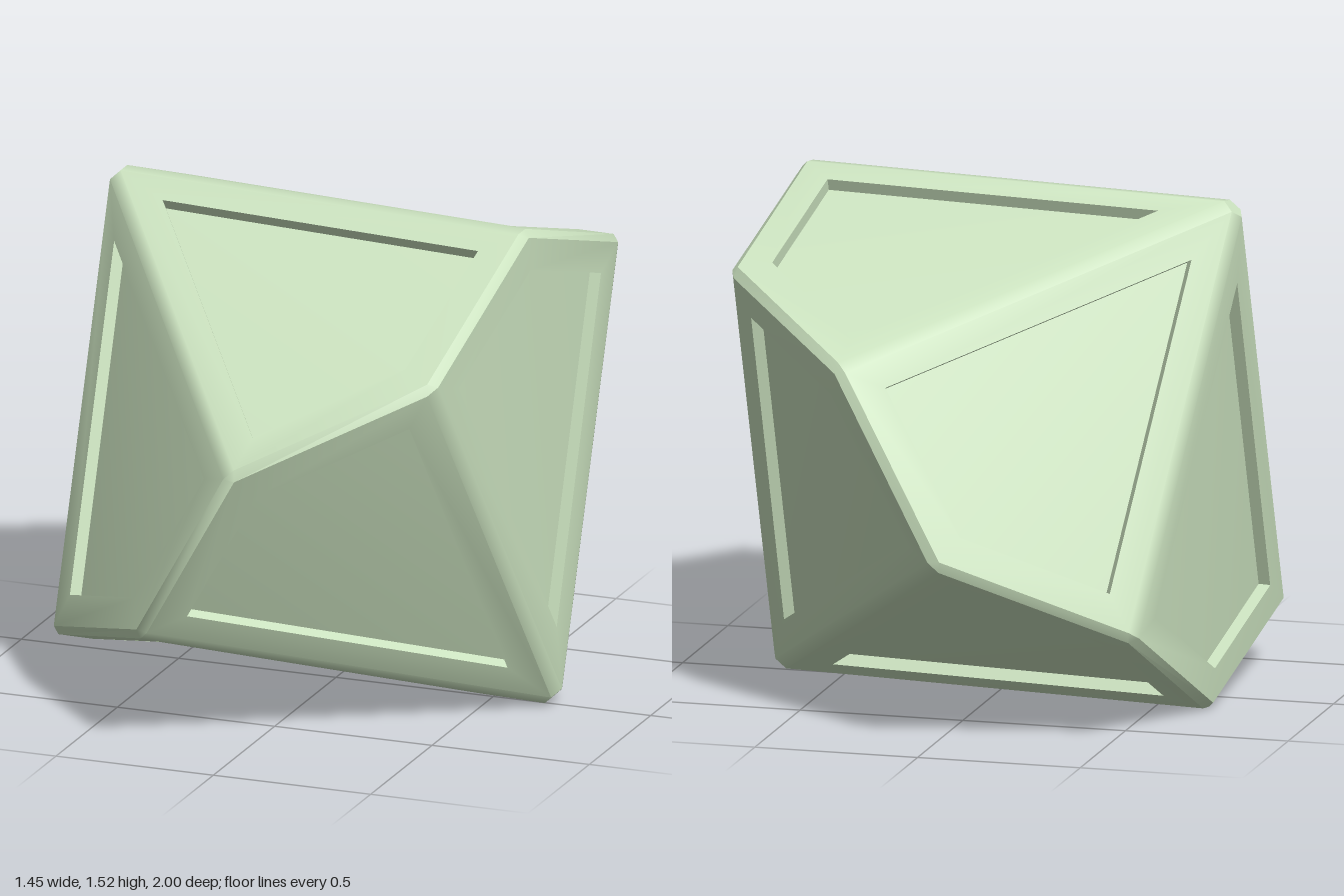
import * as THREE from 'three';
import { toCreasedNormals } from 'three/addons/utils/BufferGeometryUtils.js';

const RADIUS = 1.03, ZIGZAG = 0.09, APEX = 1.05, CENTRE_Y = 0.757;
const BEVEL = 0.024, PANEL_SCALE = 0.75, PANEL_DEPTH = 0.037;
const TILT = 0.759, SPIN = 9 * Math.PI / 180, STEP = Math.PI / 5;

// Ten-sided solid: zigzag ring of ten corners (0-9), top apex 10, bottom apex 11
function cornersAndFaces() {
  const corners = [], faces = [];
  for (let k = 0; k < 10; k++) {
    const a = SPIN + k * STEP;
    corners.push(new THREE.Vector3(RADIUS * Math.sin(a), k % 2 ? -ZIGZAG : ZIGZAG, RADIUS * Math.cos(a)));
    const ring = [k, (k + 1) % 10, (k + 2) % 10];
    faces.push(k % 2 ? [11, ...ring.reverse()] : [10, ...ring]);
  }
  corners.push(new THREE.Vector3(0, APEX, 0), new THREE.Vector3(0, -APEX, 0));
  return { corners, faces };
}

// Move every corner of a polygon inwards by a constant edge distance
function insetPolygon(pts, w) {
  const n = pts.length;
  return pts.map((p, i) => {
    const a = pts[(i + n - 1) % n].clone().sub(p).normalize();
    const b = pts[(i + 1) % n].clone().sub(p).normalize();
    return p.clone().addScaledVector(a.clone().add(b), w / Math.sin(a.angleTo(b)));
  });
}

// Add a convex polygon as a triangle fan
function addPolygon(out, pts) {
  for (let i = 1; i < pts.length - 1; i++) {
    for (const p of [pts[0], pts[i], pts[i + 1]]) out.push(p.x, p.y, p.z);
  }
}

// Mesh from triangle corners, tilted so the solid rests on one long edge
function makeMesh(name, positions, material) {
  const g = new THREE.BufferGeometry();
  g.setAttribute('position', new THREE.Float32BufferAttribute(positions, 3));
  g.rotateZ(TILT).translate(0, CENTRE_Y, 0);
  const mesh = new THREE.Mesh(toCreasedNormals(g, 0.61), material);
  mesh.name = name;
  return mesh;
}

export function createModel() {
  const { corners, faces } = cornersAndFaces();
  const shell = [], panels = [];
  const edges = new Map();
  const caps = corners.map(() => []);

  faces.forEach((face) => {
    const sharp = face.map((i) => corners[i]);
    const rim = insetPolygon(sharp, BEVEL);
    const centre = new THREE.Vector3();
    sharp.forEach((p) => centre.addScaledVector(p, 0.25));
    const normal = sharp[2].clone().sub(sharp[0]).cross(sharp[3].clone().sub(sharp[1])).normalize();
    const opening = sharp.map((p) => p.clone().lerp(centre, 1 - PANEL_SCALE));
    const floor = opening.map((p) => p.clone().addScaledVector(normal, -PANEL_DEPTH));

    for (let i = 0; i < 4; i++) {
      const j = (i + 1) % 4;
      // frame around the panel, then the recess wall
      addPolygon(shell, [rim[i], rim[j], opening[j], opening[i]]);
      addPolygon(panels, [opening[i], opening[j], floor[j], floor[i]]);
      edges.set(face[i] + '-' + face[j], [rim[i], rim[j]]);
      caps[face[i]].push(rim[i]);
    }
    addPolygon(panels, floor);
  });

  // bevel strip along every edge
  for (const [key, [a, b]] of edges) {
    const [i, j] = key.split('-').map(Number);
    if (i > j) continue;
    const [c, d] = edges.get(j + '-' + i);
    addPolygon(shell, [b, a, d, c]);
  }

  // small cap on every corner, points sorted around the outward direction
  caps.forEach((pts, i) => {
    const n = corners[i].clone().normalize();
    const u = pts[0].clone().projectOnPlane(n).normalize();
    const v = n.clone().cross(u);
    const angle = (p) => Math.atan2(p.dot(v), p.dot(u));
    addPolygon(shell, pts.slice().sort((p, q) => angle(p) - angle(q)));
  });

  const material = new THREE.MeshStandardMaterial({ color: 0xcce3c0 });
  const group = new THREE.Group();
  group.name = 'tenSidedDie';
  group.add(
    makeMesh('bevelledBody', shell, material),
    makeMesh('recessedPanels', panels, material),
  );
  return group;
}
